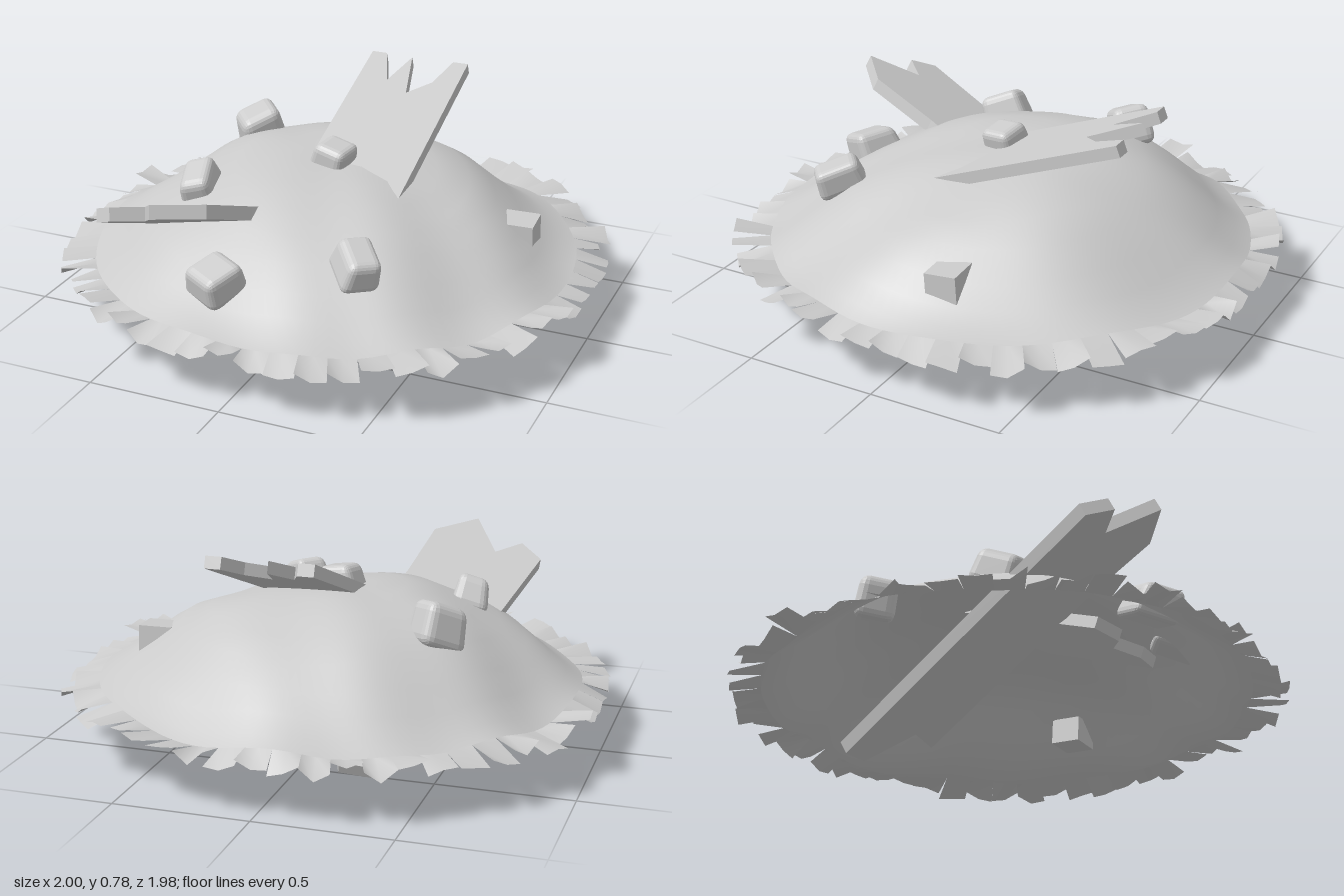
import * as THREE from 'three';
import { RoundedBoxGeometry } from 'three/addons/geometries/RoundedBoxGeometry.js';

const grey = new THREE.MeshStandardMaterial({ color: 0xcccccc });
const greyTwoSided = new THREE.MeshStandardMaterial({ color: 0xcccccc, side: THREE.DoubleSide });
const clamp = THREE.MathUtils.clamp;

// Repeatable value in 0..1 for a whole number
const hash = (n) => {
  const s = Math.sin(n * 127.1 + 11.7) * 43758.5453;
  return s - Math.floor(s);
};

// Height of the heap by distance from the middle, as [radius, height]
const PROFILE = [[0, 0.548], [0.12, 0.548], [0.25, 0.543], [0.38, 0.517], [0.5, 0.468],
  [0.6, 0.412], [0.7, 0.342], [0.78, 0.282], [0.85, 0.233], [0.91, 0.208]];
const SEG = 116;

// Point of the heap on profile ring k at step i around it
function moundPoint(k, i) {
  const [r, h] = PROFILE[k];
  const a = (i / SEG) * Math.PI * 2;
  const x = r * Math.cos(a), z = -r * Math.sin(a);
  const swell = Math.sin(Math.PI * Math.min(1, r / 0.92));
  const bump = 0.012 * Math.sin(8 * x + 2) * Math.sin(7 * z + 1) + 0.008 * Math.sin(13 * x - 9 * z);
  // fuller toward the back and the -x side
  const lean = swell * (-0.016 * Math.cos(a) + 0.02 * Math.sin(a));
  return [x, h + lean + bump * Math.min(1, r * 3), z];
}

// Smooth dome of earth, open underneath
function moundGeometry() {
  const pos = [], index = [];
  PROFILE.forEach((_, k) => {
    for (let i = 0; i < SEG; i++) pos.push(...moundPoint(k, i));
  });
  for (let k = 0; k < PROFILE.length - 1; k++) {
    for (let i = 0; i < SEG; i++) {
      const a = k * SEG + i, b = k * SEG + ((i + 1) % SEG);
      if (k > 0) index.push(a, b + SEG, b);
      index.push(a, a + SEG, b + SEG);
    }
  }
  const g = new THREE.BufferGeometry();
  g.setAttribute('position', new THREE.Float32BufferAttribute(pos, 3));
  g.setIndex(index);
  g.computeVertexNormals();
  return g;
}

// Torn rim: separate stepped tongues, each with its own reach and droop
function rimGeometry() {
  const pos = [], index = [];
  const last = PROFILE.length - 1;
  for (let t = 0; t < SEG / 2; t++) {
    const reach = 1.0 + 0.055 * hash(t);
    const low = hash(t + 40) < 0.7 ? 0.16 : 0.2;
    const base = t * 6;
    for (let s = 0; s < 3; s++) pos.push(...moundPoint(last, 2 * t + s));
    for (let s = 0; s < 3; s++) {
      const a = ((2 * t + s) / SEG) * Math.PI * 2;
      const y = low + 0.06 * hash(t * 3 + s + 200) * (s === 1 ? 0.4 : 1);
      pos.push(clamp(reach * Math.cos(a), -1, 1), Math.min(y, 0.23),
        clamp(-reach * Math.sin(a), -0.99, 0.99));
    }
    for (let s = base; s < base + 2; s++) index.push(s, s + 3, s + 4, s, s + 4, s + 1);
  }
  const g = new THREE.BufferGeometry();
  g.setAttribute('position', new THREE.Float32BufferAttribute(pos, 3));
  g.setIndex(index);
  g.computeVertexNormals();
  return g;
}

// Broken board: plan outline [x, z] laid on the sloping plane y = a + b*x + c*z
function plank(name, outline, a, b, c, thickness) {
  const shape = new THREE.Shape(outline.map(([x, z]) => new THREE.Vector2(x, -z)));
  const g = new THREE.ExtrudeGeometry(shape, { depth: 1, bevelEnabled: false });
  const normal = new THREE.Vector3(-b, 1, -c).normalize();
  const p = g.attributes.position;
  const v = new THREE.Vector3();
  for (let i = 0; i < p.count; i++) {
    const x = p.getX(i), z = -p.getY(i), up = p.getZ(i) - 1;
    v.set(x, a + b * x + c * z, z).addScaledVector(normal, up * thickness);
    p.setXYZ(i, v.x, v.y, v.z);
  }
  g.computeVertexNormals();
  const mesh = new THREE.Mesh(g, grey);
  mesh.name = name;
  return mesh;
}

// Worn stone: softened block, tapered and sheared
function stone([x, y, z], [w, h, d], [rx, ry, rz], taper) {
  const g = new RoundedBoxGeometry(w, h, d, 2, Math.min(w, h, d) * 0.24);
  const p = g.attributes.position;
  for (let i = 0; i < p.count; i++) {
    const t = p.getY(i) / h;
    p.setX(i, p.getX(i) * (1 - taper * t) + 0.12 * w * t);
    p.setZ(i, p.getZ(i) * (1 - taper * 0.6 * t));
  }
  g.computeVertexNormals();
  const mesh = new THREE.Mesh(g, grey);
  mesh.position.set(x, y, z);
  mesh.rotation.set(rx, ry, rz);
  return mesh;
}

export function createModel() {
  const model = new THREE.Group();
  model.name = 'debrisMound';

  const mound = new THREE.Mesh(moundGeometry(), greyTwoSided);
  mound.name = 'mound';
  const rim = new THREE.Mesh(rimGeometry(), greyTwoSided);
  rim.name = 'tornRim';
  model.add(mound, rim);

  // Long board rising toward the back, splintered at its upper end
  model.add(plank('backPlank', [
    [-0.09, -0.575], [-0.03, -0.575], [0.03, -0.43], [0.08, -0.57], [0.13, -0.375],
    [0.21, -0.45], [0.25, -0.575], [0.31, -0.575], [0.31, 0.47], [0.2, 0.48],
    [0.12, 0.41], [0.02, 0.49], [-0.1, 0.46],
  ], 0.555, 0, -0.386, 0.045));

  // Wide board rising toward the front, its lower end poking out beneath
  model.add(plank('frontPlank', [
    [-0.62, 0.7], [-0.53, 0.76], [-0.44, 0.67], [-0.33, 0.83], [-0.18, 0.7],
    [-0.14, 0.43], [0.08, -0.43], [-0.09, -0.38], [-0.17, -0.56], [-0.31, -0.535],
    [-0.42, -0.11],
  ], 0.342, 0.21, 0.437, 0.05));

  // Stones half sunk in the heap: position, size, rotation, taper
  const stones = [
    [[-0.45, 0.505, -0.28], [0.17, 0.16, 0.15], [0.2, 0.75, 0.25], 0.15],
    [[-0.44, 0.475, 0.26], [0.13, 0.13, 0.17], [0.4, 0.25, 0.2], 0.25],
    [[0, 0.56, 0.02], [0.14, 0.12, 0.13], [0.1, -0.2, -0.15], 0.15],
    [[0.32, 0.42, 0.56], [0.13, 0.12, 0.18], [0.4, 0.65, -0.3], 0.25],
    [[-0.15, 0.335, 0.71], [0.18, 0.13, 0.16], [0.35, -0.5, 0.1], 0.2],
  ];
  const stoneGroup = new THREE.Group();
  stoneGroup.name = 'stones';
  stones.forEach((s, i) => {
    const mesh = stone(...s);
    mesh.name = `stone${i + 1}`;
    stoneGroup.add(mesh);
  });
  model.add(stoneGroup);

  // Sharp-edged block on the side slope
  const block = new THREE.Mesh(new THREE.BoxGeometry(0.13, 0.1, 0.12), grey);
  block.name = 'sideBlock';
  block.position.set(0.685, 0.32, -0.13);
  block.rotation.set(0.06, 0.05, 0);
  model.add(block);

  return model;
}
